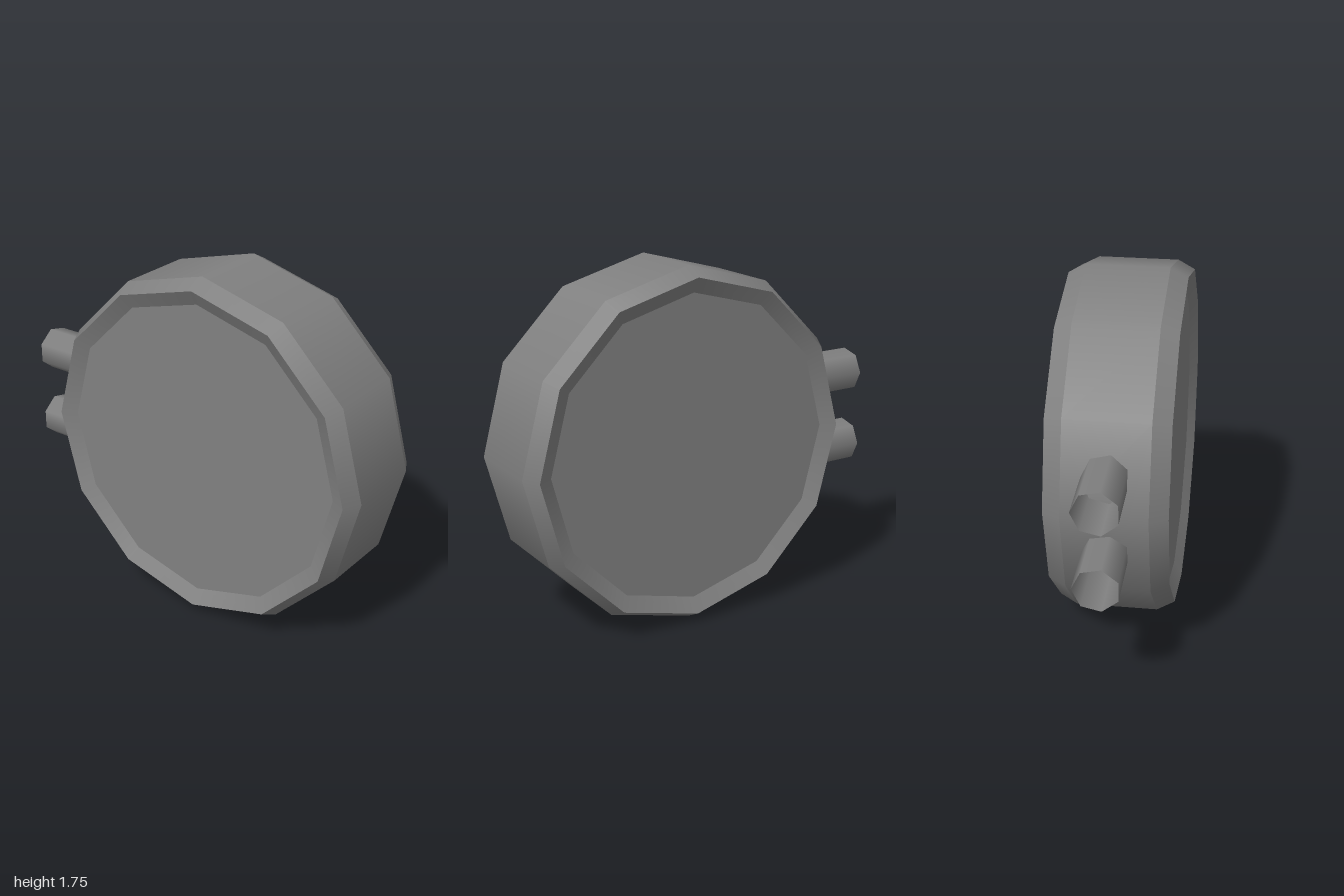
import * as THREE from 'three';

export function createModel() {
  const model = new THREE.Group();
  const grey = new THREE.MeshStandardMaterial({ color: 0x808080, side: THREE.DoubleSide });
  grey.name = 'grey';

  // Twelve-sided drum lying along x, with bevelled rims and recessed faces.
  // Each band is its own lathe: smooth around the drum, sharp between bands.
  const drum = new THREE.Group();
  drum.name = 'drum';
  drum.position.set(0, 0.875, 0.125);
  const profile = [
    [0, -0.245], [0.755, -0.245], [0.83, -0.285], [0.875, -0.2],
    [0.875, 0.2], [0.83, 0.285], [0.755, 0.245], [0, 0.245],
  ].map(([r, x]) => new THREE.Vector2(r, x));
  const names = ['rightFace', 'rightLip', 'rightBevel', 'outerBand', 'leftBevel', 'leftLip', 'leftFace'];
  names.forEach((name, i) => {
    const geometry = new THREE.LatheGeometry([profile[i], profile[i + 1]], 12);
    geometry.rotateZ(-Math.PI / 2);
    const band = new THREE.Mesh(geometry, grey);
    band.name = name;
    drum.add(band);
  });
  model.add(drum);

  // Two open seven-sided pipes at the back
  const back = -1, inner = -0.62;
  const pipeGeometry = new THREE.CylinderGeometry(0.11, 0.11, inner - back, 7, 1, true, Math.PI / 2);
  pipeGeometry.rotateX(Math.PI / 2);
  for (const [name, y] of [['upperPipe', 1.06], ['lowerPipe', 0.675]]) {
    const pipe = new THREE.Mesh(pipeGeometry, grey);
    pipe.name = name;
    pipe.position.set(0, y, (back + inner) / 2);
    model.add(pipe);
  }

  return model;
}
